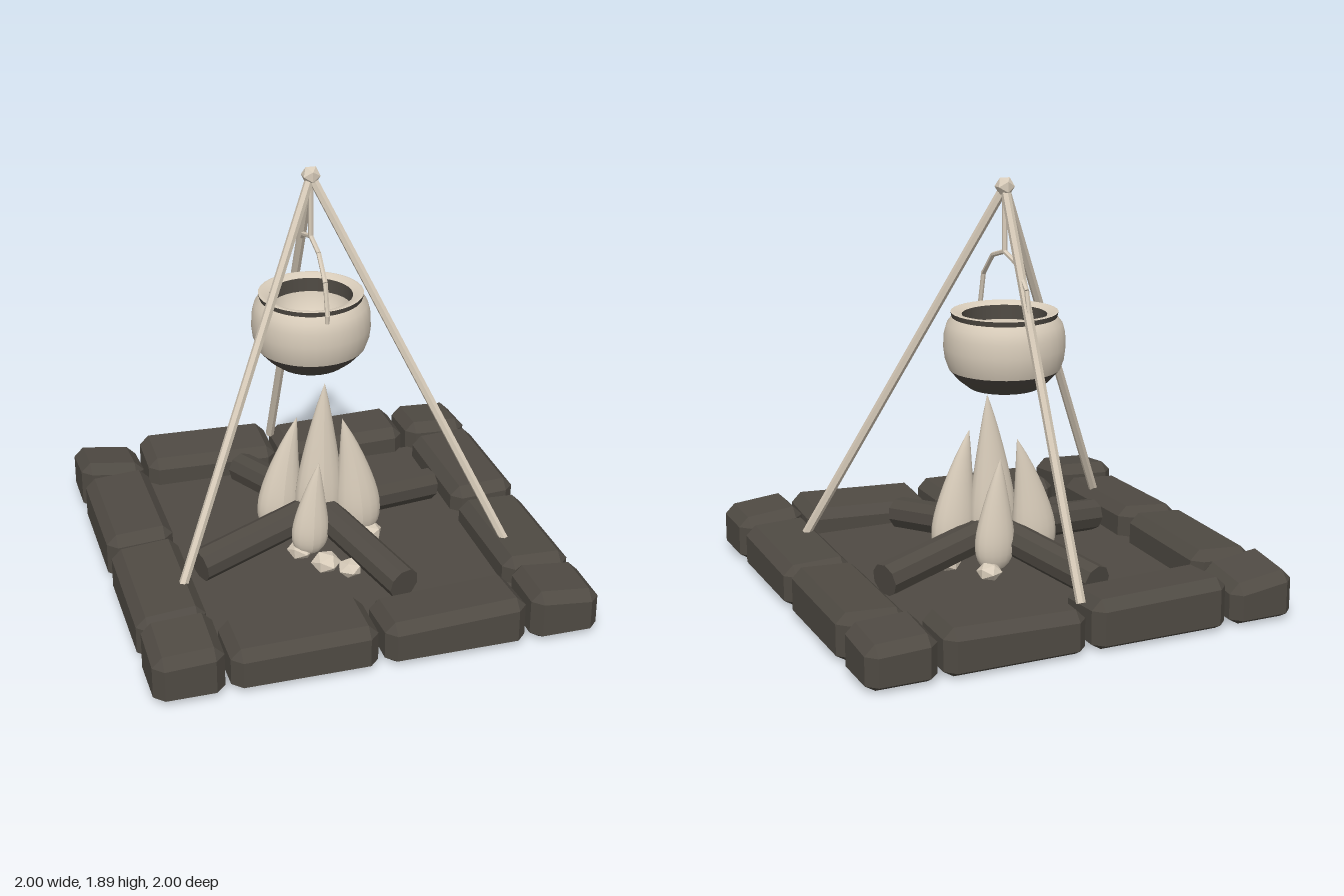
import * as THREE from 'three';
import { ConvexGeometry } from 'three/addons/geometries/ConvexGeometry.js';

const dark = new THREE.MeshStandardMaterial({ color: 0x4f4a43 });
dark.name = 'charcoal';
const darkFlat = dark;
const light = new THREE.MeshStandardMaterial({ color: 0xd8ccba });
light.name = 'pale sand';

export function createModel() {
  const model = new THREE.Group();
  model.name = 'campfire';

  let seed = 7;
  const rand = () => (seed = (seed * 16807) % 2147483647) / 2147483647;

  function add(name, geometry, material, parent = model) {
    const mesh = new THREE.Mesh(geometry, material);
    mesh.name = name;
    parent.add(mesh);
    return mesh;
  }
  function group(name) {
    const g = new THREE.Group();
    g.name = name;
    model.add(g);
    return g;
  }
  // Faceted rod between two points
  function rod(name, a, b, radius, sides, material, parent) {
    const geo = new THREE.CylinderGeometry(radius, radius, a.distanceTo(b), sides).toNonIndexed();
    geo.computeVertexNormals();
    const mesh = add(name, geo, material, parent);
    mesh.position.copy(a).add(b).multiplyScalar(0.5);
    mesh.quaternion.setFromUnitVectors(new THREE.Vector3(0, 1, 0), b.clone().sub(a).normalize());
    return mesh;
  }
  const V = (x, y, z) => new THREE.Vector3(x, y, z);

  // Chamfered stone with a slightly tilted top
  function stone(x0, x1, z0, z1, h, parent) {
    const c = 0.045, w = x1 - x0, d = z1 - z0;
    const slopeX = (rand() - 0.5) * 0.03, slopeZ = (rand() - 0.5) * 0.03;
    const points = [];
    for (const sx of [-1, 1]) for (const sy of [-1, 1]) for (const sz of [-1, 1]) {
      for (let face = 0; face < 3; face++) {
        const x = (x0 + x1) / 2 + sx * (w / 2 - (face === 0 ? 0 : c));
        const z = (z0 + z1) / 2 + sz * (d / 2 - (face === 2 ? 0 : c));
        const inset = face === 1 ? 0 : c;
        const y = sy < 0 ? inset * 0.6 : h - inset + sx * slopeX + sz * slopeZ;
        points.push(V(x, y, z));
      }
    }
    add('stone', new ConvexGeometry(points), darkFlat, parent);
  }

  // Stone border and floor slab
  const border = group('stoneBorder');
  const spans = [[-1, -0.69], [-0.665, -0.015], [0.015, 0.66], [0.685, 1]];
  const heights = [0.215, 0.22, 0.205, 0.21, 0.225, 0.21, 0.215, 0.2, 0.235, 0.2, 0.2, 0.22];
  let n = 0;
  for (const j of [0, 1, 2, 3]) for (const i of [0, 1, 2, 3]) {
    if (i % 3 && j % 3) continue;
    stone(...spans[i], ...spans[j], heights[n++], border);
  }
  add('floorSlab', new THREE.BoxGeometry(1.46, 0.07, 1.45), dark).position.set(0, 0.055, 0);

  // Four crossed logs
  const logs = group('logs');
  for (let k = 0; k < 4; k++) {
    const a = k * Math.PI / 2 + 0.33;
    const at = (r, y) => V(Math.sin(a) * r, y, Math.cos(a) * r);
    rod('log', at(0.66, 0.16), at(0.05, 0.24), 0.077, 9, darkFlat, logs);
  }

  // Flames: tapered teardrops, flattened in z, tips leaning sideways
  const flames = group('flames');
  const teardrop = [[0, 0], [0.55, 0.04], [0.88, 0.12], [1, 0.23], [0.95, 0.36],
    [0.77, 0.52], [0.52, 0.7], [0.25, 0.87], [0, 1]];
  for (const [x, z, top, radius, lean] of [
    [0, 0, 0.89, 0.115, 0.03], [0.185, 0.045, 0.72, 0.108, -0.085],
    [-0.175, -0.085, 0.69, 0.105, 0.095], [-0.09, 0.16, 0.57, 0.088, 0.045],
    [0.07, -0.165, 0.63, 0.095, -0.03]]) {
    const base = 0.1, height = top - base;
    const curve = new THREE.SplineCurve(teardrop.map(([r, t]) => new THREE.Vector2(r * radius, t * height)));
    const profile = curve.getPoints(16).map((p) => p.set(Math.max(p.x, 0), p.y));
    const geo = new THREE.LatheGeometry(profile, 16);
    geo.scale(1, 1, 0.68);
    const pos = geo.attributes.position;
    for (let i = 0; i < pos.count; i++) {
      const t = pos.getY(i) / height;
      pos.setX(i, pos.getX(i) + lean * t * t);
    }
    geo.computeVertexNormals();
    add('flame', geo, light, flames).position.set(x, base, z);
  }

  // Pale embers round the fire
  const embers = group('embers');
  for (const [x, z, r] of [[-0.05, 0.29, 0.07], [0.04, 0.37, 0.06], [0.22, 0.08, 0.07],
    [0.24, -0.04, 0.055], [-0.13, 0.15, 0.065], [-0.15, -0.15, 0.065], [-0.25, -0.05, 0.06], [0.12, -0.22, 0.06]]) {
    const ember = add('ember', new THREE.IcosahedronGeometry(r, 0), light, embers);
    ember.scale.y = 0.7;
    ember.rotation.y = rand() * 6;
    ember.position.set(x, 0.125, z);
  }

  // Tripod
  const tripod = group('tripod');
  const apex = V(0, 1.85, -0.12);
  for (const foot of [V(-0.755, 0.19, 0.43), V(0.765, 0.19, 0.435), V(0, 0.19, -0.885)])
    rod('tripodLeg', foot, apex, 0.021, 6, light, tripod);
  add('tripodKnot', new THREE.IcosahedronGeometry(0.045, 0), light, tripod).position.set(0, 1.852, -0.12);

  // Hanging rod and bent handle
  const hanger = group('potHanger');
  rod('hangingRod', V(0, 1.56, -0.12), apex, 0.012, 6, light, hanger);
  const bend = [[-0.255, 1.25], [-0.26, 1.29], [-0.225, 1.43], [-0.125, 1.53], [0, 1.565],
    [0.125, 1.53], [0.225, 1.43], [0.26, 1.29], [0.255, 1.25]].map(([z, y]) => V(0, y, z - 0.12));
  for (let i = 1; i < bend.length; i++) rod('handle', bend[i - 1], bend[i], 0.011, 6, light, hanger);

  // Cooking pot, from lathed bands
  const pot = group('pot');
  pot.position.set(0, 0, -0.12);
  const band = (name, pts, material) =>
    add(name, new THREE.LatheGeometry(pts.map(([r, y]) => new THREE.Vector2(r, y)), 32), material, pot);
  band('potBase', [[0, 0.955], [0.16, 0.955]], dark);
  band('potLowerBand', [[0.16, 0.955], [0.205, 0.99], [0.25, 1.04]], dark);
  band('potBody', [[0.25, 1.04], [0.266, 1.085], [0.273, 1.14], [0.27, 1.2], [0.258, 1.245], [0.235, 1.275]], light);
  band('potNeck', [[0.235, 1.275], [0.24, 1.298]], dark);
  band('potRim', [[0.24, 1.298], [0.225, 1.302], [0.19, 1.285]], light);
  band('potInnerWall', [[0.19, 1.285], [0.188, 1.22]], dark);
  band('potInside', [[0.188, 1.22], [0.175, 1.17], [0.14, 1.12], [0.08, 1.09], [0, 1.08]], light);

  return model;
}
